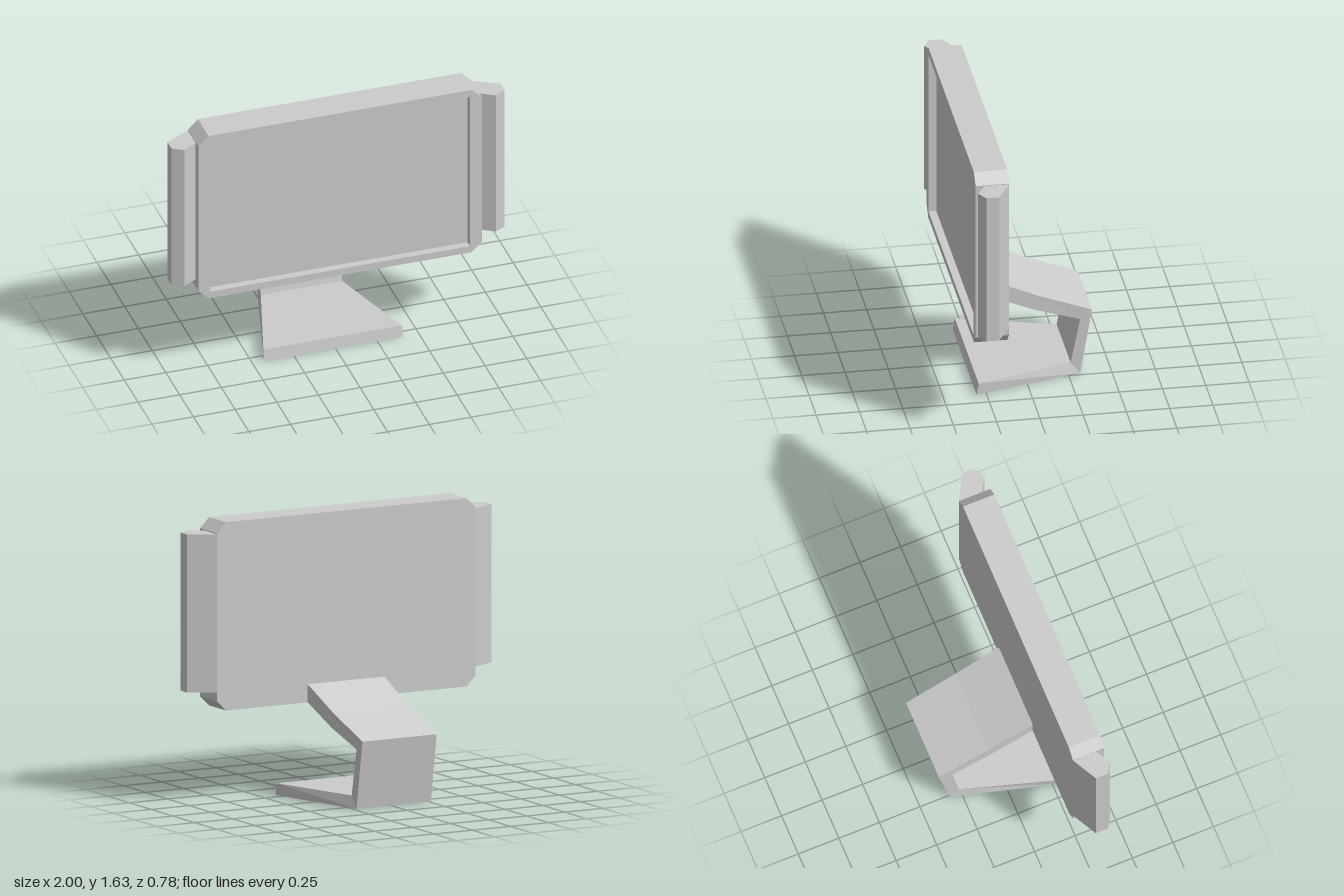
import * as THREE from 'three';

const material = new THREE.MeshStandardMaterial({ color: 0xcccccc, flatShading: true });

function addMesh(group, name, geometry) {
  const mesh = new THREE.Mesh(geometry, material);
  mesh.name = name;
  group.add(mesh);
  return mesh;
}

const shapeFrom = (points) => new THREE.Shape(points.map(([x, y]) => new THREE.Vector2(x, y)));
const extrude = (shape, depth) => new THREE.ExtrudeGeometry(shape, { depth, bevelEnabled: false });

// Rectangle with cut corners, used for the screen housing
function housingShape() {
  const x = 0.85, cut = 0.06, bottom = 0.54, top = 1.63;
  return shapeFrom([
    [-x + cut, bottom], [x - cut, bottom], [x, bottom + cut], [x, top - cut],
    [x - cut, top], [-x + cut, top], [-x, top - cut], [-x, bottom + cut],
  ]);
}

// Bent slab: each station has an outer and inner [z, y] point and its x limits
function bentSlab(stations) {
  const rings = stations.map(({ outer, inner, x: [l, r] }) => [
    [l, outer[1], outer[0]], [r, outer[1], outer[0]],
    [r, inner[1], inner[0]], [l, inner[1], inner[0]],
  ]);
  const positions = [];
  const quad = (a, b, c, d) => positions.push(...a, ...b, ...c, ...a, ...c, ...d);
  for (let i = 0; i < rings.length - 1; i++) {
    for (let j = 0; j < 4; j++) {
      const k = (j + 1) % 4;
      quad(rings[i][j], rings[i][k], rings[i + 1][k], rings[i + 1][j]);
    }
  }
  quad(...[...rings[0]].reverse());
  quad(...rings[rings.length - 1]);
  const geometry = new THREE.BufferGeometry();
  geometry.setAttribute('position', new THREE.Float32BufferAttribute(positions, 3));
  geometry.computeVertexNormals();
  return geometry;
}

export function createModel() {
  const model = new THREE.Group();
  model.name = 'monitor';
  const back = 0.195, front = 0.388, recess = 0.045;

  // Housing, whose front face is the screen, and the raised frame around it
  addMesh(model, 'screenHousing', extrude(housingShape(), front - back - recess)).position.z = back;
  const frame = housingShape();
  frame.holes.push(new THREE.Path(
    [[-0.78, 0.583], [-0.78, 1.585], [0.78, 1.585], [0.78, 0.583]].map(([x, y]) => new THREE.Vector2(x, y)),
  ));
  addMesh(model, 'screenFrame', extrude(frame, recess)).position.z = front - recess;

  // Faceted speakers on both sides
  const profile = [[0.85, back], [1, 0.275], [1, 0.35], [0.935, front], [0.85, 0.337]];
  for (const [name, side] of [['leftSpeaker', 1], ['rightSpeaker', -1]]) {
    const geometry = extrude(shapeFrom(profile.map(([x, z]) => [side * x, -z])), 0.915);
    geometry.rotateX(-Math.PI / 2);
    addMesh(model, name, geometry).position.y = 0.65;
  }

  // Stand: neck, upright and flared foot in one folded slab
  addMesh(model, 'stand', bentSlab([
    { outer: [back, 0.645], inner: [back, 0.54], x: [-0.25, 0.253] },
    { outer: [-0.08, 0.52], inner: [-0.06, 0.432], x: [-0.255, 0.243] },
    { outer: [-0.388, 0.4], inner: [-0.32, 0.345], x: [-0.26, 0.228] },
    { outer: [-0.32, 0], inner: [-0.265, 0.07], x: [-0.26, 0.228] },
    { outer: [0.307, 0], inner: [0.295, 0.07], x: [-0.43, 0.4] },
  ]));

  return model;
}
